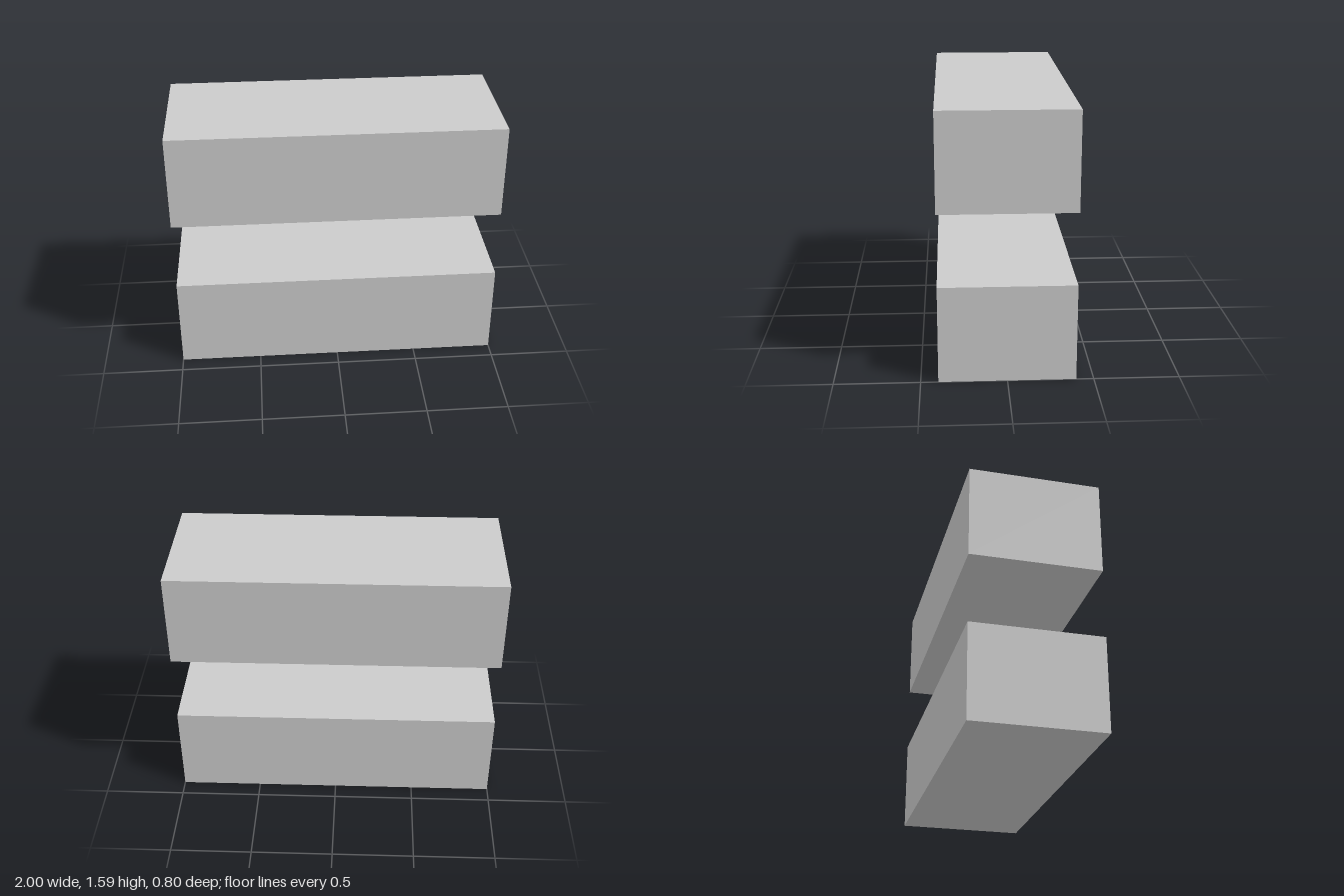
import * as THREE from 'three';

export function createModel() {
  const model = new THREE.Group();
  const material = new THREE.MeshStandardMaterial({ color: 0xcccccc, flatShading: true });

  // Two identical blocks, one floating above the other
  const width = 2, height = 0.58, depth = 0.797;
  const block = new THREE.BoxGeometry(width, height, depth);
  for (const [name, base] of [['lowerBlock', 0], ['upperBlock', 1.008]]) {
    const mesh = new THREE.Mesh(block, material);
    mesh.name = name;
    mesh.position.y = base + height / 2;
    model.add(mesh);
  }
  return model;
}
